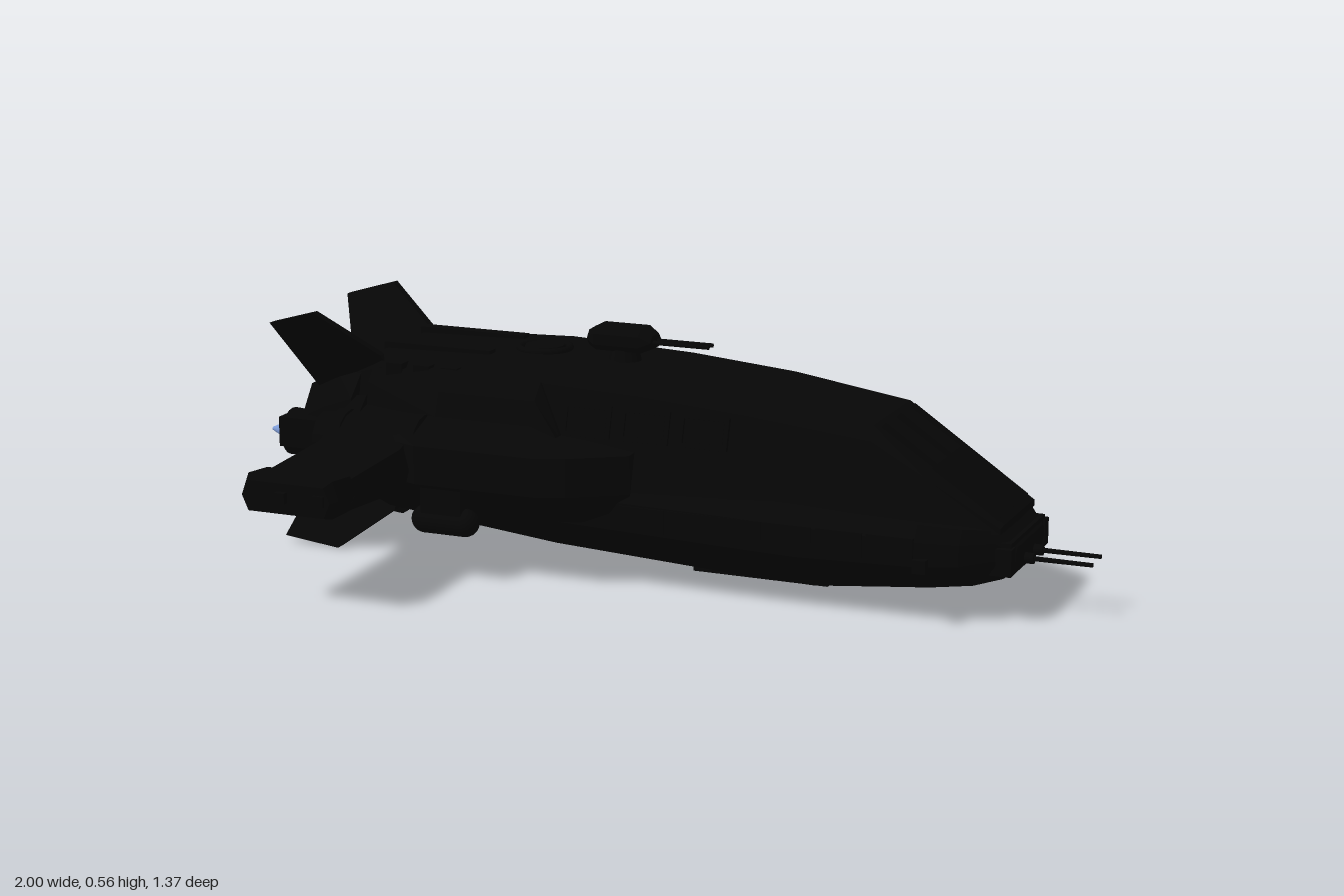
import * as THREE from 'three';

const hullMat = new THREE.MeshStandardMaterial({ color: 0x060606 });
hullMat.name = 'black hull';
const flameMat = new THREE.MeshStandardMaterial({ color: 0x7d9bd6 });
flameMat.name = 'blue flame';

// Skin rings of points; each ring runs counterclockwise seen from the last ring's side
function loft(rings) {
  const n = rings[0].length, pos = [];
  const tri = (a, b, c) => pos.push(...a, ...b, ...c);
  for (let i = 0; i < rings.length - 1; i++) {
    for (let j = 0; j < n; j++) {
      const k = (j + 1) % n, A = rings[i], B = rings[i + 1];
      tri(A[j], A[k], B[k]);
      tri(A[j], B[k], B[j]);
    }
  }
  const first = rings[0], last = rings[rings.length - 1];
  for (let j = 1; j < n - 1; j++) {
    tri(last[0], last[j], last[j + 1]);
    tri(first[0], first[j + 1], first[j]);
  }
  const g = new THREE.BufferGeometry();
  g.setAttribute('position', new THREE.Float32BufferAttribute(pos, 3));
  g.computeVertexNormals();
  return g;
}

// Close a half outline of [z, y] points across the centre line
function symmetricRing(x, half) {
  const other = half.slice(1, -1).reverse().map(([z, y]) => [-z, y]);
  return [...half, ...other].map(([z, y]) => [x, y, z]);
}

// Copy reflected to the other side, with corner order restored
function mirrorZ(geo) {
  const g = geo.index ? geo.toNonIndexed() : geo.clone();
  g.scale(1, 1, -1);
  for (const a of [g.attributes.position, g.attributes.normal]) {
    for (let i = 0; i < a.count; i += 3) {
      const b = [a.getX(i + 1), a.getY(i + 1), a.getZ(i + 1)];
      a.setXYZ(i + 1, a.getX(i + 2), a.getY(i + 2), a.getZ(i + 2));
      a.setXYZ(i + 2, ...b);
    }
  }
  return g;
}

const box = (x0, x1, y0, y1, z0, z1) => new THREE.BoxGeometry(x1 - x0, y1 - y0, z1 - z0)
  .translate((x0 + x1) / 2, (y0 + y1) / 2, (z0 + z1) / 2);
// Tube along x, rear radius first
const rod = (x0, x1, y, z, r0, r1 = r0, sides = 16) =>
  new THREE.CylinderGeometry(r1, r0, x1 - x0, sides).rotateZ(-Math.PI / 2).translate((x0 + x1) / 2, y, z);
const disc = (x, y0, y1, z, r0, r1 = r0) =>
  new THREE.CylinderGeometry(r1, r0, y1 - y0, 24).translate(x, (y0 + y1) / 2, z);

export function createModel() {
  const ship = new THREE.Group();
  ship.name = 'spaceship';
  const add = (name, geo, mat = hullMat) => {
    const m = new THREE.Mesh(geo, mat);
    m.name = name;
    ship.add(m);
  };
  const both = (name, geo, mat) => {
    add(name + 'Left', geo, mat);
    add(name + 'Right', mirrorZ(geo), mat);
  };

  // Lower hull: x, top, half width, bottom
  const lower = [
    [-0.76, 0.24, 0.15, 0.14], [-0.64, 0.25, 0.2, 0.1], [-0.2, 0.25, 0.235, 0.06],
    [0.22, 0.25, 0.24, 0.037], [0.39, 0.245, 0.24, 0.033], [0.66, 0.23, 0.235, 0.06],
    [0.75, 0.22, 0.2, 0.07], [0.81, 0.21, 0.14, 0.085], [0.85, 0.17, 0.11, 0.115],
  ];
  add('lowerHull', loft(lower.map(([x, t, w, b]) => {
    const h = t - b;
    return symmetricRing(x, [[0, t], [w * 0.9, t], [w, t - h * 0.2], [w, t - h * 0.52],
      [w * 0.78, b + h * 0.13], [w * 0.45, b], [0, b]]);
  })));

  // Upper hull: x, top, deck half width, base half width
  const upper = [
    [-0.86, 0.4, 0.06, 0.12], [-0.74, 0.45, 0.09, 0.16], [-0.66, 0.48, 0.12, 0.2],
    [-0.3, 0.488, 0.14, 0.22], [0, 0.475, 0.14, 0.225], [0.25, 0.453, 0.14, 0.225],
    [0.53, 0.415, 0.125, 0.215], [0.66, 0.33, 0.12, 0.2], [0.82, 0.218, 0.1, 0.13],
  ];
  add('upperHull', loft(upper.map(([x, t, wt, wb]) => {
    const h = t - 0.2;
    return symmetricRing(x, [[0, t], [wt, t], [wt + 0.03, t - h * 0.13], [wb, 0.2 + h * 0.1], [0, 0.2]]);
  })));

  // Shoulder bulges: x, outer half width, height limit
  const bulge = [[-0.67, 0.27, 0.44], [-0.48, 0.335, 0.46], [-0.24, 0.335, 0.45], [-0.18, 0.335, 0.34],
    [-0.12, 0.31, 0.335], [0, 0.23, 0.32]];
  const bulgeRing = [[0.14, 0.46], [0.175, 0.46], [0.207, 0.415], [0.225, 0.36],
    [0.33, 0.318], [0.33, 0.23], [0.25, 0.155], [0.14, 0.14]];
  both('shoulder', loft(bulge.map(([x, w, cap]) => bulgeRing.map(([z, y]) =>
    [x, Math.min(y, cap), 0.14 + (z - 0.14) * (w - 0.14) / 0.19]))));

  // Wings: z, rear x, front x, bottom, top
  const wingRing = ([z, x0, x1, b, t]) => {
    const c = 0.015, m = (b + t) / 2;
    return [[x0, m], [x0 + c, b], [x1 - c, b], [x1, m], [x1 - c, t], [x0 + c, t]].map(([x, y]) => [x, y, z]);
  };
  both('wing', loft([[0.16, -0.73, -0.48, 0.16, 0.375], [0.23, -0.73, -0.49, 0.175, 0.355],
    [0.34, -0.73, -0.495, 0.213, 0.308], [0.58, -0.73, -0.495, 0.228, 0.295]].map(wingRing)));
  both('wingTip', loft([[0.57, -0.73, -0.495, 0.227, 0.303], [0.65, -0.73, -0.495, 0.227, 0.31],
    [0.672, -0.72, -0.505, 0.232, 0.3]].map(wingRing)));
  for (const [x, z] of [[-0.62, 0.686], [-0.53, 0.678]]) both('wingTipLamp', box(x - 0.012, x + 0.012, 0.258, 0.282, 0.66, z));

  // Short rounded pods below the shoulders
  both('wingPod', rod(-0.47, -0.37, 0.143, 0.3, 0.032));
  for (const x of [-0.47, -0.37]) both('wingPodEnd', new THREE.SphereGeometry(0.032, 16, 10).translate(x, 0.143, 0.3));
  both('wingPodPylon', box(-0.47, -0.37, 0.15, 0.24, 0.28, 0.325));

  // Side thrusters behind the wings
  both('sideThruster', rod(-0.76, -0.5, 0.29, 0.235, 0.06, 0.075));
  both('sideThrusterCollar', rod(-0.72, -0.69, 0.29, 0.235, 0.07));
  both('sideFlame', rod(-0.782, -0.755, 0.29, 0.235, 0.004, 0.024), flameMat);

  // Main engine pair with a small engine above
  add('engineBlock', loft([[-0.88, 0.13, 0.2, 0.37], [-0.8, 0.16, 0.17, 0.41], [-0.72, 0.18, 0.13, 0.44]]
    .map(([x, w, b, t]) => symmetricRing(x, [[0, t], [w * 0.6, t], [w, t - 0.07], [w, b + 0.05], [w * 0.6, b], [0, b]]))));
  both('mainNozzle', rod(-0.945, -0.85, 0.245, 0.06, 0.056, 0.05, 20));
  both('mainNozzleRing', rod(-0.91, -0.89, 0.245, 0.06, 0.06, 0.06, 20));
  both('mainFlame', rod(-1, -0.94, 0.245, 0.06, 0.004, 0.032), flameMat);
  add('upperNozzle', rod(-0.9, -0.82, 0.337, 0, 0.036, 0.042));
  add('upperFlame', rod(-0.925, -0.895, 0.337, 0, 0.004, 0.026), flameMat);
  add('tailAntenna', rod(-0.935, -0.8, 0.385, 0, 0.005, 0.005, 8));

  // Tail fins: outline [x, y, z] given a thickness across z
  const fin = (pts, t) => loft([-t, t].map(d => pts.map(([x, y, z]) => [x, y, z + d])));
  both('upperFin', fin([[-0.85, 0.37, 0.085], [-0.63, 0.42, 0.11], [-0.66, 0.47, 0.135],
    [-0.8, 0.57, 0.195], [-0.92, 0.535, 0.185]], 0.011));
  both('lowerFin', fin([[-0.91, 0.02, 0.16], [-0.77, 0.005, 0.162], [-0.64, 0.1, 0.12],
    [-0.64, 0.18, 0.08], [-0.85, 0.17, 0.085]], 0.011));
  both('tailHousing', box(-0.91, -0.74, 0.24, 0.31, 0.12, 0.185));

  // Roof turret with twin barrels
  add('turretNeck', disc(-0.11, 0.47, 0.51, 0, 0.04, 0.03));
  add('turretHead', loft([[-0.19, 0.032, 0.51, 0.545], [-0.17, 0.045, 0.502, 0.557],
    [-0.06, 0.045, 0.502, 0.557], [-0.035, 0.032, 0.512, 0.542]].map(([x, w, b, t]) =>
    symmetricRing(x, [[0, t], [w * 0.6, t], [w, t - 0.015], [w, b + 0.015], [w * 0.6, b], [0, b]]))));
  both('turretBarrel', rod(-0.06, 0.1, 0.526, 0.012, 0.005, 0.005, 8));

  // Roof hatch, rails and vents
  add('hatchRim', new THREE.TorusGeometry(0.058, 0.008, 8, 32).rotateX(Math.PI / 2).translate(-0.31, 0.49, 0));
  add('hatchLid', disc(-0.31, 0.48, 0.497, 0, 0.052, 0.045));
  both('roofRail', box(-0.67, -0.4, 0.465, 0.494, 0.075, 0.105));
  for (const x of [-0.63, -0.56, -0.49]) both('roofVent', box(x, x + 0.04, 0.4, 0.462, 0.13, 0.175));

  // Cabin windows: frame bars around a thin pane, leaning with the hull side
  for (const x of [-0.12, 0.02, 0.16]) {
    const lean = g => g.rotateX(-0.28).translate(x, 0.375, 0.181);
    both('windowPane', lean(box(-0.045, 0.045, -0.025, 0.025, 0, 0.007)));
    for (const s of [-1, 1]) {
      both('windowFrame', lean(box(-0.058, 0.058, s * 0.032 - 0.005, s * 0.032 + 0.005, -0.01, 0.013)));
      both('windowFrame', lean(box(s * 0.053 - 0.005, s * 0.053 + 0.005, -0.03, 0.03, -0.01, 0.013)));
    }
  }

  // Sloped cockpit bars
  const slope = Math.atan2(-0.197, 0.29);
  for (const z of [-0.1, 0, 0.1]) {
    add('cockpitBar', box(-0.16, 0.16, -0.008, 0.008, z - 0.006, z + 0.006).rotateZ(slope).translate(0.675, 0.318, 0));
  }

  // Belt plates along the hull sides, keel and lamps
  for (let i = 0; i < 6; i++) {
    const x = -0.02 + i * 0.115;
    both('beltPlate', box(x, x + 0.105, 0.15, 0.205, 0.2, 0.241));
  }
  add('keelPlate', box(0.1, 0.42, 0.031, 0.06, -0.1, 0.1));
  both('sideLamp', box(0.66, 0.69, 0.13, 0.16, 0.2, 0.245));

  // Nose bumper and twin guns
  add('noseBlock', box(0.78, 0.845, 0.11, 0.185, -0.13, 0.13));
  both('noseBracket', box(0.815, 0.85, 0.115, 0.175, 0.115, 0.145));
  both('noseGunMount', rod(0.82, 0.87, 0.13, 0.035, 0.014, 0.012, 12));
  both('noseGun', rod(0.83, 1, 0.13, 0.035, 0.006, 0.005, 8));
  return ship;
}
